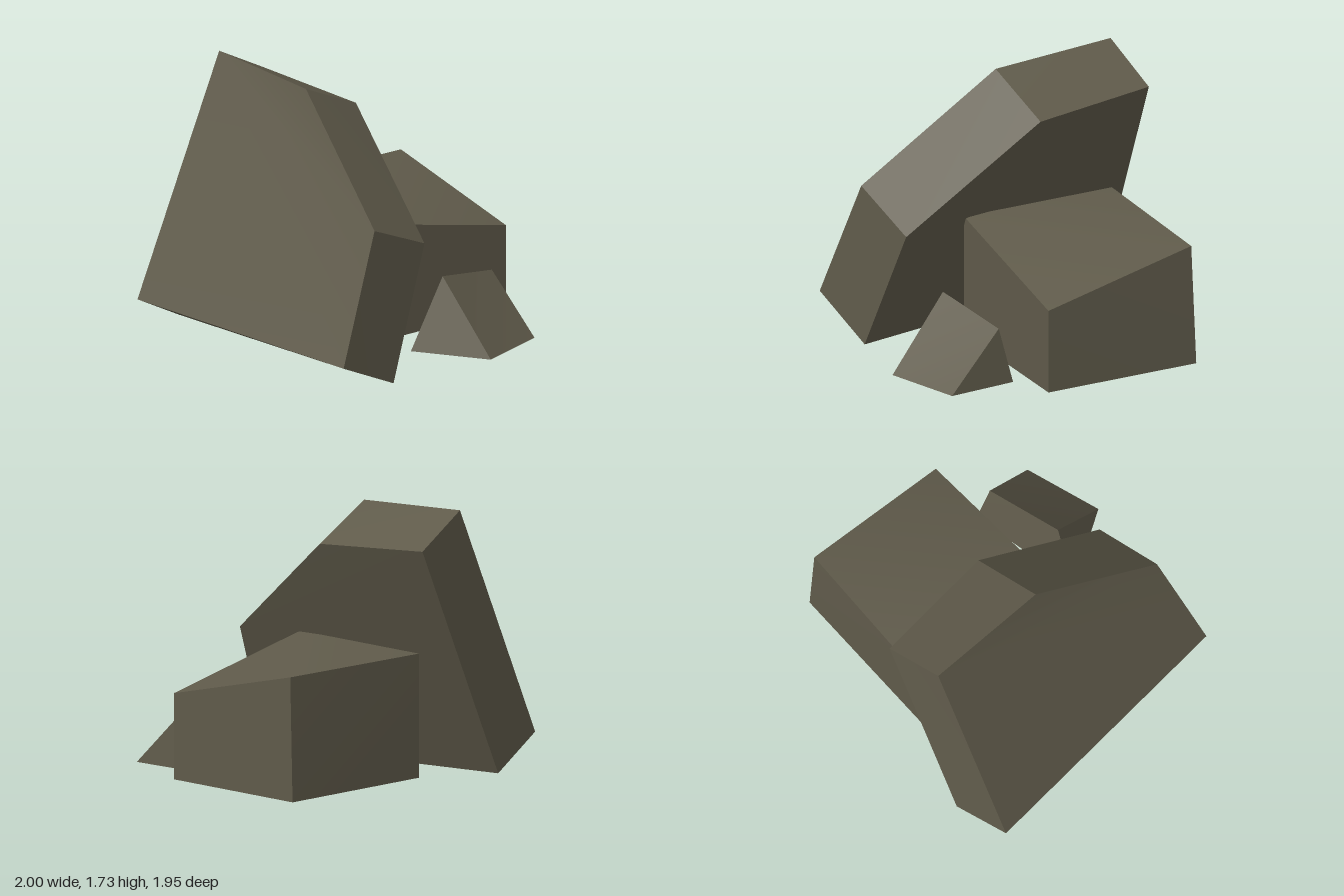
import * as THREE from 'three';

// Convex faceted block spanned between two matching end rings of corners.
function blockGeometry(ringA, ringB) {
  const n = ringA.length;
  const a = ringA.map((p) => new THREE.Vector3(...p));
  const b = ringB.map((p) => new THREE.Vector3(...p));
  const centre = new THREE.Vector3();
  [...a, ...b].forEach((p) => centre.addScaledVector(p, 1 / (2 * n)));

  // End caps, then one side face per ring edge
  const faces = [a, b];
  for (let i = 0; i < n; i++) {
    const j = (i + 1) % n;
    faces.push([a[i], a[j], b[j], b[i]]);
  }

  const positions = [];
  const index = [];
  for (const face of faces) {
    // Turn every face outwards
    const normal = new THREE.Triangle(face[0], face[1], face[2]).getNormal(new THREE.Vector3());
    const inward = normal.dot(face[0].clone().sub(centre)) < 0;
    const start = positions.length / 3;
    face.forEach((p) => positions.push(p.x, p.y, p.z));
    for (let k = 1; k < face.length - 1; k++) {
      if (inward) index.push(start, start + k + 1, start + k);
      else index.push(start, start + k, start + k + 1);
    }
  }

  const geometry = new THREE.BufferGeometry();
  geometry.setAttribute('position', new THREE.Float32BufferAttribute(positions, 3));
  geometry.setIndex(index);
  geometry.computeVertexNormals(); // corners are split per face, so edges stay sharp
  return geometry;
}

export function createModel() {
  const group = new THREE.Group();
  group.name = 'rockPile';
  const stone = new THREE.MeshStandardMaterial({ color: 0x5f5a4a });
  stone.name = 'stone';

  const addRock = (name, ringA, ringB) => {
    const mesh = new THREE.Mesh(blockGeometry(ringA, ringB), stone);
    mesh.name = name;
    group.add(mesh);
  };

  // Tall five-sided slab leaning over to the side
  addRock('leaningSlab',
    [[-0.35, 1.73, -0.9], [-0.33, 1.685, -0.08], [-0.49, 1.01, 0.78], [-0.83, 0.21, 0.89], [-1, 0.24, -0.91]],
    [[0.04, 1.53, -0.96], [0.13, 1.48, -0.15], [-0.03, 0.815, 0.71], [-0.37, 0, 0.82], [-0.61, 0.04, -0.975]]);

  // Squat block with one dropped top corner
  addRock('squareBlock',
    [[-0.11, 0.84, 0.26], [-0.11, 0.84, -0.78], [-0.11, 0.055, -0.78], [-0.11, 0.055, 0.26]],
    [[1, 0.6, 0.26], [0.99, 0.84, -0.75], [1, 0.055, -0.78], [1, 0.055, 0.26]]);

  // Small ridge-topped wedge in front
  addRock('smallWedge',
    [[0.01, 0.055, 0.53], [0.285, 0.055, 0.975], [0.22, 0.515, 0.585]],
    [[0.74, 0.055, 0.37], [0.77, 0.055, 0.815], [0.72, 0.42, 0.46]]);

  return group;
}
